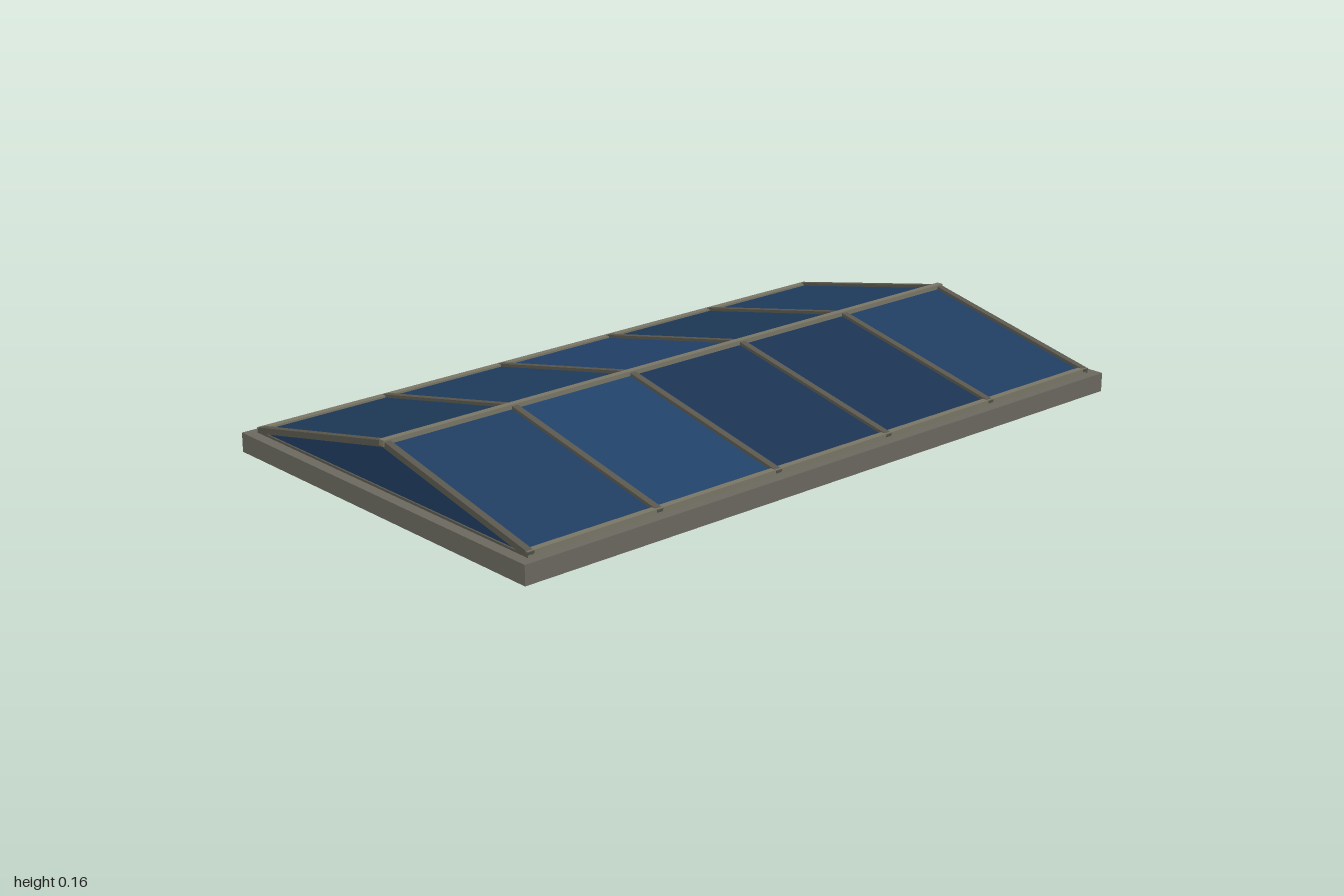
import * as THREE from 'three';

const paint = (color) => new THREE.MeshStandardMaterial({ color });

function box(parent, name, size, pos, material) {
  const mesh = new THREE.Mesh(new THREE.BoxGeometry(...size), material);
  mesh.position.set(...pos);
  mesh.name = name;
  parent.add(mesh);
  return mesh;
}

export function createModel() {
  const model = new THREE.Group();
  model.name = 'ridgeSkylight';
  const kerbPaint = paint(0x6b695f), barPaint = paint(0x5a584e), trimPaint = paint(0x7a7767);
  const glass = [0x1e3a58, 0x203d60, 0x22426a, 0x1c3553].map(paint);
  const kerbTop = 0.045, ridgeY = 0.15, halfW = 0.477, halfL = 0.84, bays = 5;
  const eaveY = 0.05, bar = 0.016;
  const rise = ridgeY - eaveY;
  const slope = Math.hypot(halfW, rise), angle = Math.atan2(rise, halfW);

  // The whole unit is turned on its vertical axis
  const body = new THREE.Group();
  body.name = 'skylight';
  body.rotation.y = -Math.PI / 6;
  model.add(body);

  // Solid kerb
  box(body, 'kerb', [1, kerbTop, 1.732], [0, kerbTop / 2, 0], kerbPaint);

  // Two glazed slopes, each built along a tilted plane from the ridge down
  const shades = [[1, 3, 3, 2, 1], [0, 1, 2, 0, 1]];
  const pitch = (2 * halfL - bar) / bays;
  shades.forEach((row, side) => {
    const half = new THREE.Group();
    half.name = side ? 'rightSlope' : 'leftSlope';
    half.rotation.y = side * Math.PI;
    body.add(half);
    const plane = new THREE.Group();
    plane.name = 'slopePlane';
    plane.position.y = ridgeY;
    plane.rotation.z = -angle;
    half.add(plane);

    row.forEach((shade, i) => {
      const z = (i - (bays - 1) / 2) * pitch;
      box(plane, 'glassPane', [slope, 0.008, pitch], [slope / 2, -0.004, z], glass[shade]);
    });
    for (let i = 0; i <= bays; i++) {
      const z = (i - bays / 2) * pitch;
      box(plane, 'rafter', [slope, 0.014, bar], [slope / 2, 0, z], barPaint);
    }
    // Eave bar resting on the kerb
    box(half, 'eaveBar', [bar, 0.014, 2 * halfL], [halfW - bar / 2, kerbTop + 0.006, 0], trimPaint);
  });

  // Ridge bar
  box(body, 'ridgeBar', [bar, 0.014, 2 * halfL + 0.004], [0, ridgeY + 0.002, 0], trimPaint);

  // Triangular end panes with sills
  const tri = new THREE.Shape([
    new THREE.Vector2(-halfW, kerbTop), new THREE.Vector2(halfW, kerbTop),
    new THREE.Vector2(halfW, eaveY), new THREE.Vector2(0, ridgeY), new THREE.Vector2(-halfW, eaveY),
  ]);
  const triGeo = new THREE.ExtrudeGeometry(tri, { depth: 0.008, bevelEnabled: false });
  for (const s of [1, -1]) {
    const pane = new THREE.Mesh(triGeo, glass[1]);
    pane.name = s > 0 ? 'frontGablePane' : 'backGablePane';
    pane.position.z = s * (halfL - 0.008) - 0.004;
    body.add(pane);
    box(body, 'gableSill', [2 * halfW, 0.006, bar], [0, kerbTop + 0.002, s * (halfL - bar / 2)], barPaint);
  }
  return model;
}
